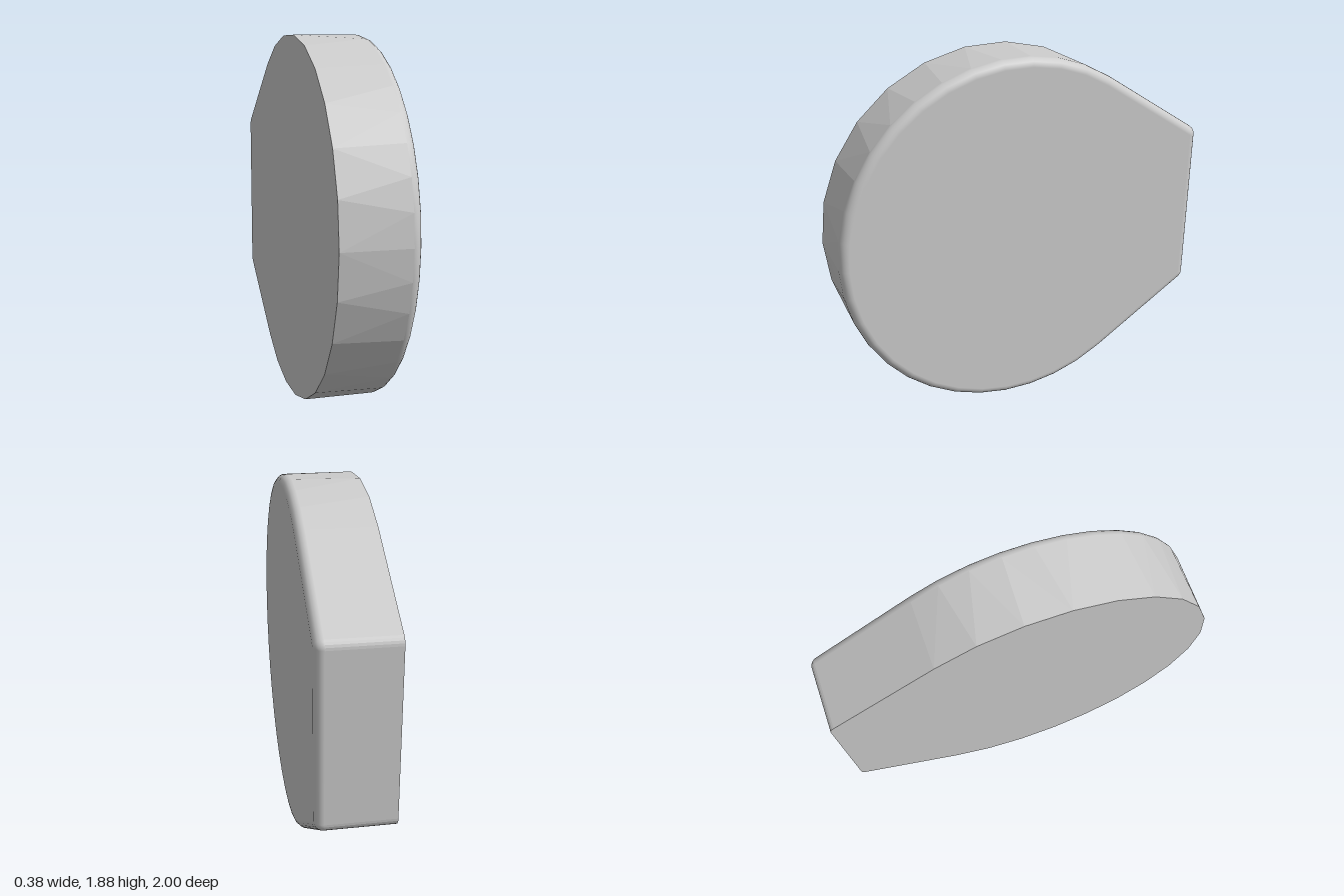
import * as THREE from 'three';

const R = 0.945, CY = 0.945, CZ = 0.055;       // disc radius and centre
const TANGENT = THREE.MathUtils.degToRad(122.5); // where the arc meets the slanted sides
const FILLET = 0.05, ROUND = 0.045;            // rear corner radius, edge rounding
const X_FLAT = -0.195, X_FACE = 0.19;

// Closed outline: points stored as arc centre + direction + radius, so insets are exact.
function outline(arcSegments) {
  const points = [];
  const fz = -1 + FILLET;
  const fy = (R - FILLET - Math.cos(TANGENT) * (fz - CZ)) / Math.sin(TANGENT);
  const sections = [
    { y: CY - fy, z: fz, r: FILLET, from: -Math.PI, to: -TANGENT, n: 4 },
    { y: CY, z: CZ, r: R, from: -TANGENT, to: TANGENT, n: arcSegments },
    { y: CY + fy, z: fz, r: FILLET, from: TANGENT, to: Math.PI, n: 4 },
  ];
  sections.forEach((s, k) => {
    for (let i = 0; i <= s.n; i++) {
      const a = s.from + (s.to - s.from) * i / s.n;
      points.push({ y: s.y, z: s.z, r: s.r, dy: Math.sin(a), dz: Math.cos(a), key: a + k * 10 });
    }
  });
  points.push({ ...points[0], key: 1000 });
  return points;
}

const place = (p, x, inset = 0) => [x, p.y + p.dy * (p.r - inset), p.z + p.dz * (p.r - inset)];

function makeMesh(name, positions, material, normals, index) {
  const g = new THREE.BufferGeometry();
  g.setAttribute('position', new THREE.Float32BufferAttribute(positions, 3));
  if (index) g.setIndex(index);
  if (normals) g.setAttribute('normal', new THREE.Float32BufferAttribute(normals, 3));
  else g.computeVertexNormals();
  const mesh = new THREE.Mesh(g, material);
  mesh.name = name;
  return mesh;
}

// Flat convex cap, drawn as a fan
function cap(name, loop, x, inset, side, material) {
  const positions = loop.flatMap(p => place(p, x, inset));
  const normals = loop.flatMap(() => [side, 0, 0]);
  const index = [];
  for (let i = 1; i < loop.length - 2; i++) {
    index.push(0, ...(side > 0 ? [i + 1, i] : [i, i + 1]));
  }
  return makeMesh(name, positions, material, normals, index);
}

export function createModel() {
  const group = new THREE.Group();
  group.name = 'roundedPlate';
  const material = new THREE.MeshStandardMaterial({ color: 0xcccccc });
  const coarse = outline(18), fine = outline(26);
  const xEdge = X_FACE - ROUND;

  // Faceted side wall, joining the coarse outline to the finer one
  const wall = [];
  let i = 0, j = 0;
  while (i < coarse.length - 1 || j < fine.length - 1) {
    const a = place(coarse[i], X_FLAT), b = place(fine[j], xEdge);
    const nextA = coarse[i + 1], nextB = fine[j + 1];
    if (nextA && (!nextB || nextA.key <= nextB.key)) {
      wall.push(...a, ...b, ...place(nextA, X_FLAT));
      i++;
    } else {
      wall.push(...a, ...b, ...place(nextB, xEdge));
      j++;
    }
  }
  group.add(makeMesh('sideWall', wall, material));

  // Smooth rounded rim
  const steps = 5, n = fine.length;
  const positions = [], normals = [], index = [];
  for (let s = 0; s <= steps; s++) {
    const t = s / steps * Math.PI / 2, c = Math.cos(t), h = Math.sin(t);
    fine.forEach((p, k) => {
      positions.push(...place(p, xEdge + ROUND * h, ROUND * (1 - c)));
      normals.push(h, c * p.dy, c * p.dz);
      if (s < steps && k < n - 1) {
        const a = s * n + k, b = a + n;
        index.push(a, b, a + 1, a + 1, b, b + 1);
      }
    });
  }
  group.add(makeMesh('roundedRim', positions, material, normals, index));

  // Flat faces on both sides
  group.add(cap('roundedSideFace', fine, X_FACE, ROUND, 1, material));
  group.add(cap('flatSideFace', coarse, X_FLAT, 0, -1, material));
  return group;
}
